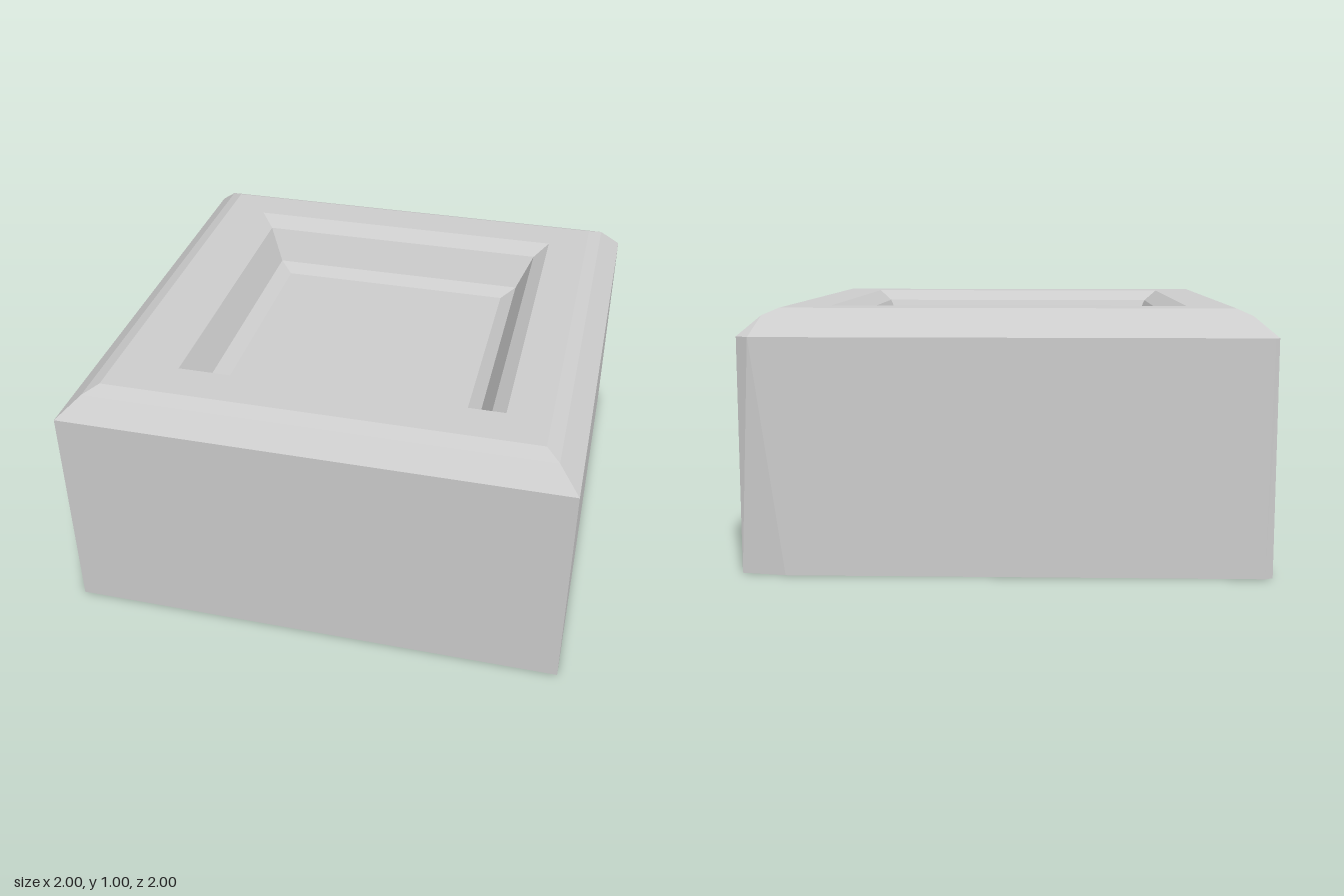
import * as THREE from 'three';

const stone = new THREE.MeshStandardMaterial({ color: 0xcccccc });
stone.name = 'light grey';

// Flat-shaded skin over a series of closed rings of [x, y, z] points
function loft(name, rings) {
  const pos = [];
  for (let i = 0; i < rings.length - 1; i++) {
    const lo = rings[i], hi = rings[i + 1], n = lo.length;
    for (let j = 0; j < n; j++) {
      const k = (j + 1) % n;
      pos.push(...lo[j], ...lo[k], ...hi[k]);
      pos.push(...lo[j], ...hi[k], ...hi[j]);
    }
  }
  const geo = new THREE.BufferGeometry();
  geo.setAttribute('position', new THREE.Float32BufferAttribute(pos, 3));
  geo.computeVertexNormals();
  const mesh = new THREE.Mesh(geo, stone);
  mesh.name = name;
  return mesh;
}

// Square ring; the back corners may be chipped: [cut along x, cut along z]
const square = (r, y, [lx, lz] = [0, 0], [rx, rz] = [0, 0]) => [
  [-r, y, r], [r, y, r],
  [r, y, -r + lz], [r - lx, y, -r],
  [-r + rx, y, -r], [-r, y, -r + rz],
];
const pointRing = (y, n) => Array.from({ length: n }, () => [0, y, 0]);

export function createModel() {
  const group = new THREE.Group();
  group.name = 'hollowBlock';

  const base = square(1, 0, [0.17, 0.03], [0.03, 0.015]);
  const shoulder = square(1, 0.9, [0.05, 0.035], [0.015, 0.01]);
  const bevelMid = square(0.915, 0.975);
  const bevelTop = square(0.86, 1);
  const recessEdge = square(0.69, 1);

  // Outer walls, bevelled shoulder and flat top frame
  group.add(loft('walls', [base, shoulder]));
  group.add(loft('bevel', [shoulder, bevelMid, bevelTop]));
  group.add(loft('topFrame', [bevelTop, recessEdge]));

  // Stepped square recess in the top
  const floor = square(0.505, 0.79);
  group.add(loft('recessWalls', [recessEdge, square(0.63, 0.955), square(0.565, 0.82), floor]));
  group.add(loft('recessFloor', [floor, pointRing(0.79, floor.length)]));

  // Hollow underneath: half of a faceted ball, its rim pulled out to a rounded square
  const rim = [
    [0.855, 0.275], [0.74, 0.82], [-0.03, 0.915], [-0.76, 0.81], [-0.868, 0.27],
    [-0.868, -0.27], [-0.775, -0.83], [0.12, -0.917], [0.77, -0.81], [0.855, -0.28],
  ];
  const radius = 0.91, depth = 0.58;
  const ballPoint = (azimuth, latitude) => {
    const a = THREE.MathUtils.degToRad(azimuth), l = THREE.MathUtils.degToRad(latitude);
    return [radius * Math.cos(l) * Math.cos(a), depth * Math.sin(l), radius * Math.cos(l) * Math.sin(a)];
  };
  group.add(loft('hollow', [
    rim.map(([x, z]) => [x, 0, z]),
    rim.map((_, j) => ballPoint(36 * j, j % 2 ? 31.72 : 26.57)),
    rim.map((_, j) => ballPoint(72 * Math.floor(j / 2), 58.28)),
    pointRing(depth, rim.length),
  ]));

  // Underside frame around the hollow
  const shape = new THREE.Shape(base.map(([x, , z]) => new THREE.Vector2(x, z)));
  shape.holes.push(new THREE.Path(rim.map(([x, z]) => new THREE.Vector2(x, z))));
  const underside = new THREE.Mesh(new THREE.ShapeGeometry(shape).rotateX(Math.PI / 2), stone);
  underside.name = 'undersideFrame';
  group.add(underside);

  return group;
}
